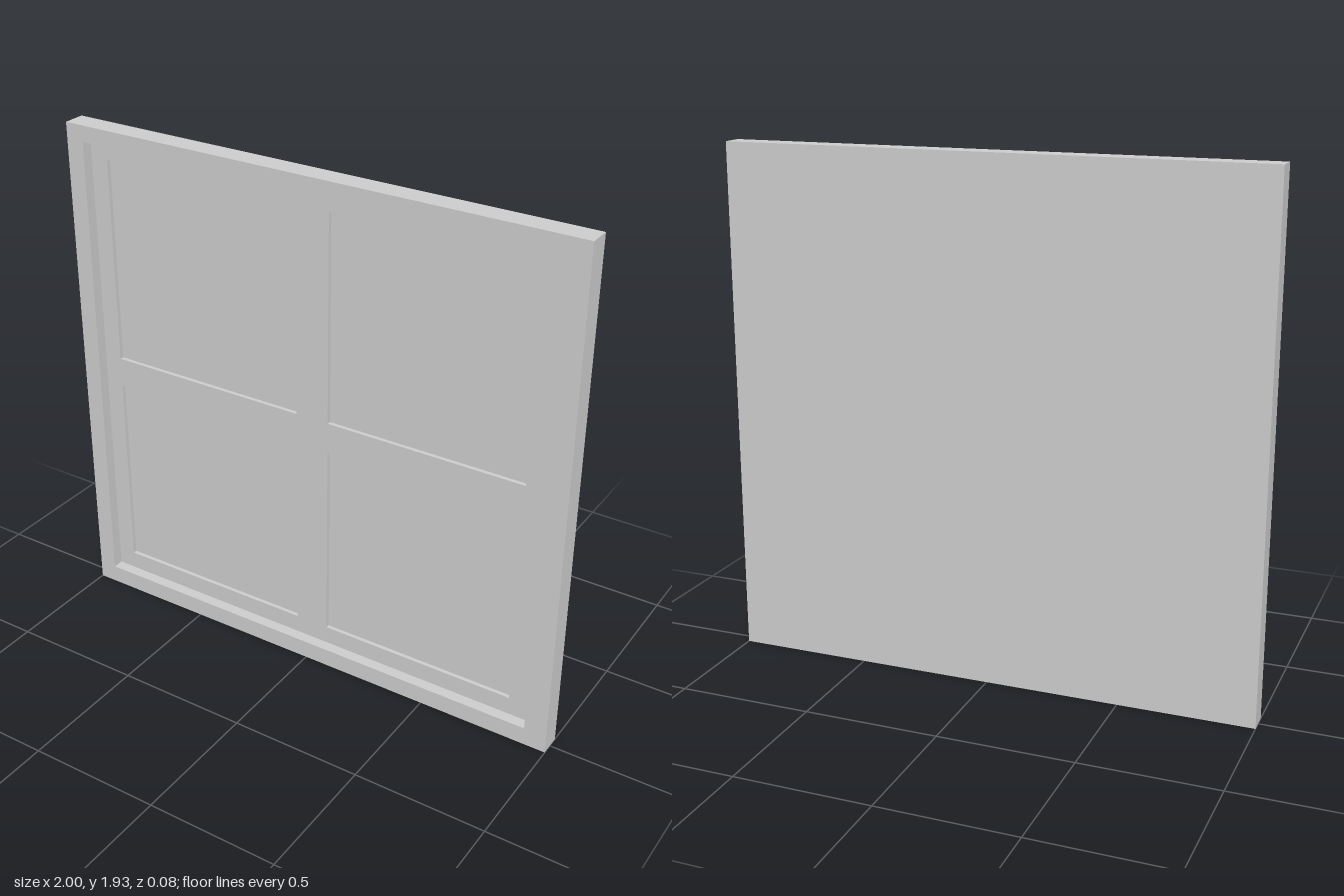
import * as THREE from 'three';

const TOP = 1.93, BACK = -0.042, FRONT = 0.042;
const SASH_Z = 0.0, PANE_Z = -0.015;

// Rectangular outline from its edges
function rect(Type, [x0, x1, y0, y1]) {
  return new Type([[x0, y0], [x1, y0], [x1, y1], [x0, y1]].map(p => new THREE.Vector2(...p)));
}

// Flat plate with rectangular openings, spanning z0 to z1
function plate(name, material, outline, openings, z0, z1) {
  const shape = rect(THREE.Shape, outline);
  openings.forEach(o => shape.holes.push(rect(THREE.Path, o)));
  const geometry = new THREE.ExtrudeGeometry(shape, { depth: z1 - z0, bevelEnabled: false });
  geometry.translate(0, 0, z0);
  const mesh = new THREE.Mesh(geometry, material);
  mesh.name = name;
  return mesh;
}

export function createModel() {
  const group = new THREE.Group();
  group.name = 'window';
  const material = new THREE.MeshStandardMaterial({ color: 0xcccccc });

  const outer = [-1, 1, 0, TOP];
  const opening = [-0.93, 0.915, 0.07, 1.87];
  const columns = [[-0.86, -0.065], [0.065, 0.83]];
  const rows = [[0.14, 0.905], [1.02, 1.805]];
  const panes = columns.flatMap(c => rows.map(r => [...c, ...r]));

  // Outer frame, the recessed sash with its crossbars, and the panes with a solid back
  group.add(plate('outerFrame', material, outer, [opening], PANE_Z, FRONT));
  group.add(plate('sash', material, opening, panes, PANE_Z, SASH_Z));
  group.add(plate('panesAndBack', material, outer, [], BACK, PANE_Z));
  return group;
}
